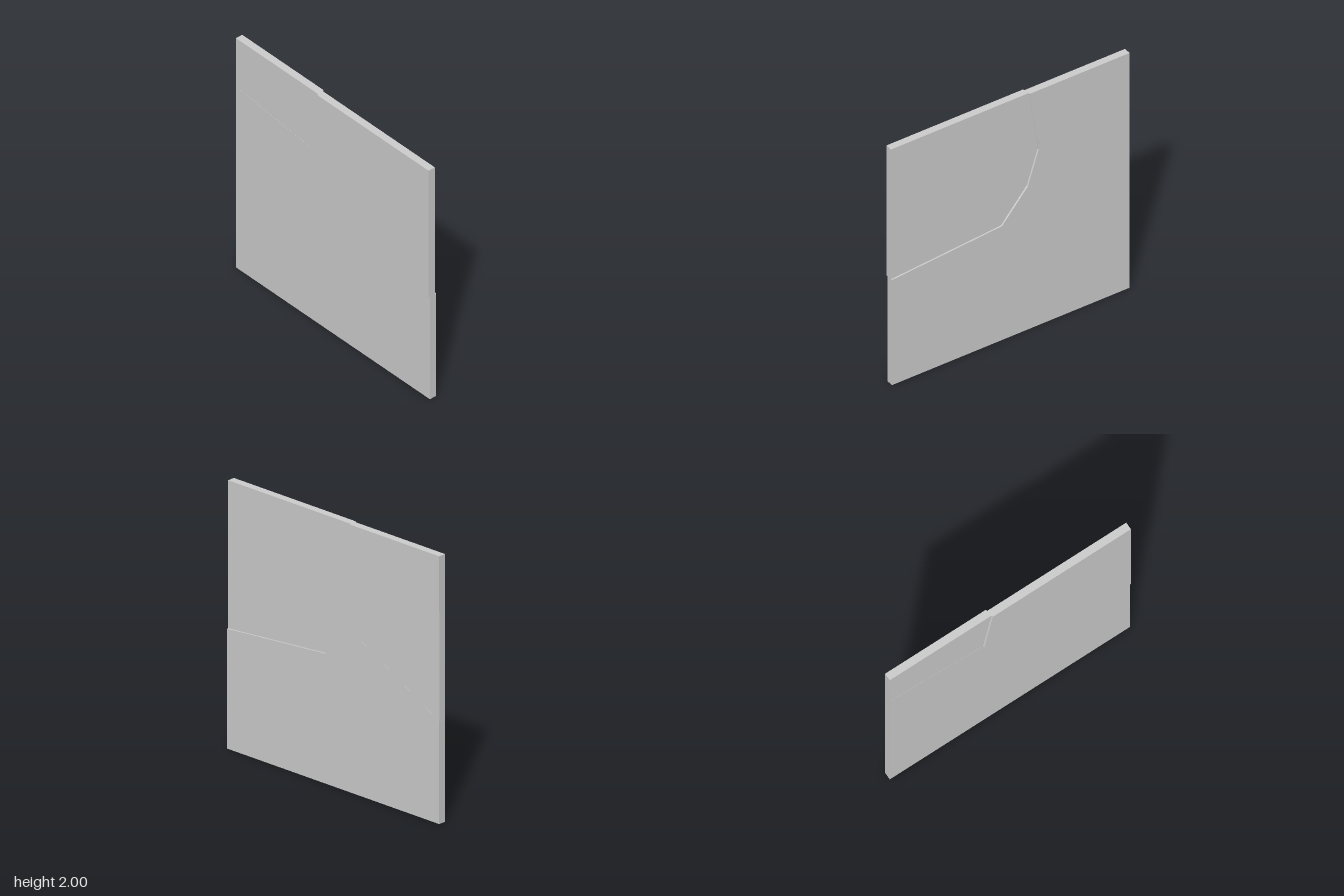
import * as THREE from 'three';
import { ConvexGeometry } from 'three/addons/geometries/ConvexGeometry.js';

// Crack junctions: [front x, front y, back x, back y]; back equals front when omitted
const P = {
  topLeft: [-1, 2], topRight: [1, 2], baseLeft: [-1, 0], baseRight: [1, 0],
  t1: [-0.15, 2, -0.16, 2], t2: [-0.31, 2, -0.295, 2], t3: [-0.71, 2, -0.735, 2],
  a: [-0.22, 1.49, -0.235, 1.496], b: [-0.13, 1.215, -0.145, 1.222], c: [0.075, 0.97],
  d: [1, 0.895], e: [0.02, 0], f: [-1, 0.757, -1, 0.77], g: [-1, 1.58],
  h: [-0.385, 1.81, -0.36, 1.82], i: [-0.245, 1.63, -0.218, 1.626], j: [-0.2, 1.64, -0.213, 1.645],
  k: [-0.637, 1.547, -0.624, 1.541], k2: [-0.61, 1.535], l: [-0.845, 1.595, -0.87, 1.598],
  m: [-0.283, 1.497, -0.245, 1.493], n: [-0.94, 1.573], p: [-0.865, 1.564, -0.88, 1.566],
  q: [-0.25, 1.56, -0.228, 1.56], q2: [-0.245, 1.493, -0.238, 1.492],
  r: [-0.265, 1.56, -0.23, 1.56], s: [-0.21, 1.56, -0.225, 1.56],
  u: [-0.79, 1.582, -0.8, 1.582], v: [-0.76, 1.552]
};

const BACK = -0.035, THICK = 0.058;

// Each piece: name, outline, forward shift
const PIECES = [
  ['upperRightPanel', 't1 topRight d c b a', 0.012],
  ['lowerRightPanel', 'c d baseRight e', 0],
  ['lowerLeftPanel', 'f b c e baseLeft', 0],
  ['middleLeftPanel', 'g a b f', 0.001],
  ['cornerPiece', 'topLeft t3 l n g', 0],
  ['topPiece', 't3 t2 h k l', 0],
  ['narrowTopPiece', 't2 t1 j i h', 0],
  ['wedgePiece', 'h i m k2 k', 0],
  ['shardUpper', 'i j s r', 0],
  ['shardLowerLeft', 'r q q2 m', 0],
  ['shardLowerRight', 'q s a q2', 0],
  ['chipLeft', 'n l p', 0],
  ['chipMiddle', 'l u v p', 0],
  ['chipRight', 'u k k2 v', 0]
];

export function createModel() {
  const group = new THREE.Group();
  group.name = 'crackedPanel';
  const material = new THREE.MeshStandardMaterial({ color: 0xcccccc, flatShading: true });

  // Every fragment is a convex slab joining its front and back outlines
  for (const [name, outline, shift] of PIECES) {
    const points = [];
    for (const id of outline.split(' ')) {
      const [x, y, bx = x, by = y] = P[id];
      points.push(new THREE.Vector3(x, y, BACK + THICK + shift));
      points.push(new THREE.Vector3(bx, by, BACK + shift));
    }
    const mesh = new THREE.Mesh(new ConvexGeometry(points), material);
    mesh.name = name;
    group.add(mesh);
  }
  return group;
}
